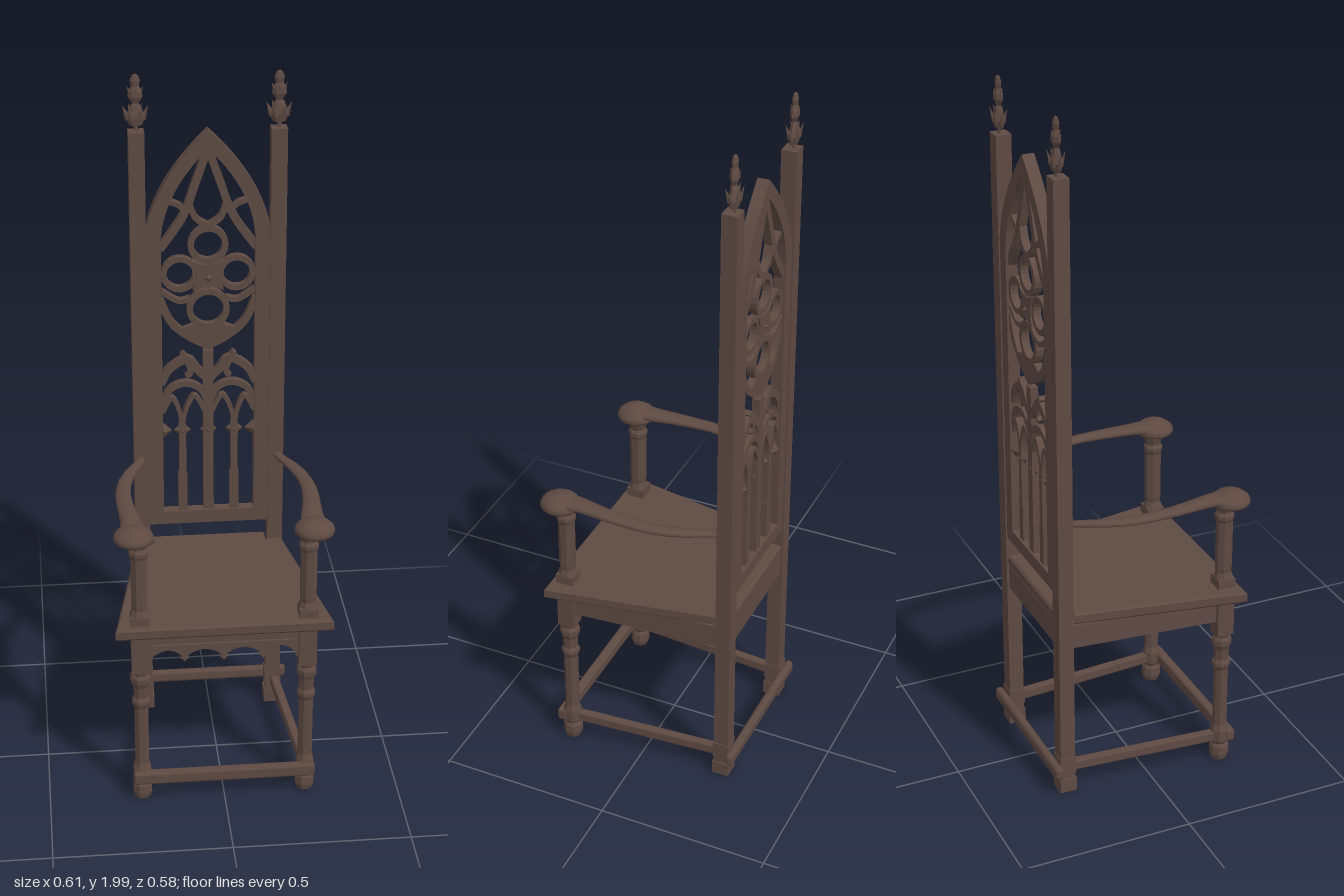
import * as THREE from 'three';
import { RoundedBoxGeometry } from 'three/addons/geometries/RoundedBoxGeometry.js';

const wood = new THREE.MeshStandardMaterial({ color: 0x5e4a43 });
wood.name = 'dark wood';

const v2 = ([x, y]) => new THREE.Vector2(x, y);

export function createModel() {
  const chair = new THREE.Group();
  chair.name = 'gothicArmchair';

  function add(name, geometry, x = 0, y = 0, z = 0, parent = chair) {
    const mesh = new THREE.Mesh(geometry, wood);
    mesh.name = name;
    mesh.position.set(x, y, z);
    parent.add(mesh);
    return mesh;
  }
  // box given by its bottom and top heights
  const block = (name, w, d, y0, y1, x, z) =>
    add(name, new THREE.BoxGeometry(w, y1 - y0, d), x, (y0 + y1) / 2, z);

  const extrude = (shape, depth, bevel = 0) => new THREE.ExtrudeGeometry(shape, {
    depth, curveSegments: 10, bevelEnabled: bevel > 0, bevelSize: bevel, bevelThickness: bevel,
    bevelOffset: -bevel, bevelSegments: 1,
  });

  // faceted turning around a vertical axis
  function turned(name, profile, x, z, sides = 8, parent = chair) {
    const g = new THREE.LatheGeometry(profile.map(v2), sides, Math.PI / sides).toNonIndexed();
    g.computeVertexNormals();
    return add(name, g, x, 0, z, parent);
  }

  // flat bar of constant width following a smooth path
  function strip(points, width, n = 14) {
    const pts = new THREE.SplineCurve(points.map(v2)).getPoints(points.length > 2 ? n : 1);
    const left = [], right = [];
    pts.forEach((p, i) => {
      const a = pts[Math.max(i - 1, 0)], b = pts[Math.min(i + 1, pts.length - 1)];
      const t = b.clone().sub(a).normalize().multiplyScalar(width / 2);
      left.push(new THREE.Vector2(p.x - t.y, p.y + t.x));
      right.unshift(new THREE.Vector2(p.x + t.y, p.y - t.x));
    });
    return new THREE.Shape([...right.reverse(), ...left.reverse()]);
  }

  // horizontal beam between two points of the plan
  function beam(name, [x0, z0], [x1, z1], thick, y0, y1, bevel = 0) {
    const length = Math.hypot(x1 - x0, z1 - z0);
    const g = bevel ? new RoundedBoxGeometry(length, y1 - y0, thick, 1, bevel)
      : new THREE.BoxGeometry(length, y1 - y0, thick);
    const m = add(name, g, (x0 + x1) / 2, (y0 + y1) / 2, (z0 + z1) / 2);
    m.rotation.y = -Math.atan2(z1 - z0, x1 - x0);
  }

  // ---- seat: tapering board with a tongue between the back posts
  const seat = new THREE.Shape([[-0.303, -0.268], [0.303, -0.268], [0.215, 0.222], [0.168, 0.222],
    [0.168, 0.265], [-0.168, 0.265], [-0.168, 0.222], [-0.215, 0.222]].map(v2));
  const seatGeo = extrude(seat, 0.023, 0.006);
  seatGeo.rotateX(-Math.PI / 2);
  add('seat', seatGeo, 0, 0.556, 0);

  // ---- front apron with hanging cusps
  const apron = new THREE.Shape();
  apron.moveTo(0.215, 0.55);
  apron.lineTo(-0.215, 0.55);
  apron.lineTo(-0.215, 0.455);
  let from = -0.205;
  for (const tip of [-0.11, 0, 0.11, 0.205]) {
    apron.quadraticCurveTo(from + 0.012, 0.487, (from + tip) / 2, 0.492);
    apron.quadraticCurveTo(tip - 0.012, 0.487, tip - 0.005, 0.462);
    apron.lineTo(tip, 0.452);
    apron.lineTo(tip + 0.005, 0.462);
    from = tip;
  }
  apron.lineTo(0.215, 0.455);
  add('frontApron', extrude(apron, 0.02), 0, 0, 0.212);
  beam('frontApronMoulding', [-0.2, 0.234], [0.2, 0.234], 0.01, 0.5, 0.512);
  for (const tip of [-0.11, 0, 0.11]) {
    add('apronPendant', new THREE.OctahedronGeometry(0.013), tip, 0.46, 0.222);
  }

  // ---- back apron and the stretchers lying outside the legs
  beam('backApron', [-0.18, -0.25], [0.18, -0.25], 0.022, 0.475, 0.548);
  beam('frontStretcher', [-0.26, 0.25], [0.26, 0.25], 0.03, 0.065, 0.103, 0.008);
  beam('backStretcher', [-0.24, -0.279], [0.24, -0.279], 0.026, 0.065, 0.103, 0.011);

  // ---- paired parts
  for (const s of [-1, 1]) {
    beam('sideApron', [s * 0.237, 0.21], [s * 0.2, -0.23], 0.022, 0.475, 0.545);
    beam('sideStretcher', [s * 0.235, 0.24], [s * 0.197, -0.26], 0.026, 0.068, 0.1, 0.006);

    // front leg: square head, turned shaft, bulb foot
    const lx = s * 0.234, lz = 0.225;
    block('frontLegHead', 0.05, 0.05, 0.43, 0.55, lx, lz);
    turned('frontLeg', [[0, 0.008], [0.024, 0.008], [0.029, 0.025], [0.028, 0.05], [0.022, 0.06],
      [0.027, 0.07], [0.027, 0.105], [0.021, 0.125], [0.021, 0.31], [0.027, 0.325], [0.027, 0.335],
      [0.021, 0.345], [0.023, 0.38], [0.029, 0.395], [0.029, 0.41], [0.023, 0.42], [0.027, 0.435]], lx, lz);

    // back post running from floor to finial
    const px = s * 0.195, pz = -0.246;
    block('backPost', 0.044, 0.044, 0.008, 1.842, px, pz);
    block('backFoot', 0.052, 0.05, 0.008, 0.05, px, pz);
    block('backLegCollar', 0.05, 0.048, 0.07, 0.12, px, pz);

    // leafy finial, flattened front to back
    const finial = new THREE.Group();
    finial.name = 'finial';
    finial.position.set(px, 0, pz - 0.004);
    finial.scale.z = 0.6;
    chair.add(finial);
    turned('finialStem', [[0, 1.835], [0.006, 1.835], [0.006, 1.857], [0.018, 1.857], [0.027, 1.88], [0.016, 1.908],
      [0.009, 1.918], [0.02, 1.935], [0.019, 1.95], [0.011, 1.965], [0.014, 1.98], [0.009, 1.994], [0, 2]],
    0, 0, 6, finial);
    for (const [y, reach, size, count] of [[1.893, 0.027, 0.042, 6], [1.952, 0.016, 0.03, 4]]) {
      for (let i = 0; i < count; i++) {
        const a = i * 2 * Math.PI / count;
        const leaf = add('finialLeaf', new THREE.ConeGeometry(size * 0.24, size, 4),
          Math.cos(a) * reach, y, Math.sin(a) * reach, finial);
        leaf.rotation.set(Math.sin(a) * 0.4, 0, -Math.cos(a) * 0.4);
      }
    }

    // arm post
    block('armPostBase', 0.052, 0.052, 0.583, 0.612, lx, lz);
    turned('armPost', [[0.029, 0.61], [0.022, 0.63], [0.024, 0.645], [0.024, 0.79], [0.028, 0.8],
      [0.028, 0.81], [0.022, 0.82], [0.03, 0.85]], lx, lz);

    // domed hand rest
    add('handRest', new THREE.LatheGeometry([[0, 0.835], [0.03, 0.842], [0.052, 0.848], [0.056, 0.856], [0.052, 0.868],
      [0.036, 0.88], [0.015, 0.886], [0, 0.887]].map(v2), 20), s * 0.247, 0, 0.235);

    // bowed arm lofted through elliptical sections: x, y, z, half width, half height
    const sections = [[0.197, 0.858, -0.235, 0.013, 0.008], [0.208, 0.859, -0.2, 0.016, 0.008],
      [0.231, 0.86, -0.15, 0.019, 0.009], [0.248, 0.861, -0.1, 0.021, 0.009], [0.258, 0.862, -0.05, 0.021, 0.01],
      [0.262, 0.864, 0, 0.022, 0.01], [0.26, 0.865, 0.06, 0.024, 0.011], [0.254, 0.867, 0.12, 0.027, 0.012],
      [0.248, 0.868, 0.17, 0.031, 0.013], [0.247, 0.868, 0.23, 0.04, 0.013]];
    const n = 10, pos = [], idx = [];
    sections.forEach(([cx, cy, cz, rx, ry], i) => {
      for (let j = 0; j < n; j++) {
        const a = j * 2 * Math.PI / n;
        pos.push(s * cx + rx * Math.cos(a), cy + ry * Math.sin(a), cz);
        if (i === sections.length - 1) continue;
        const p = i * n + j, q = i * n + (j + 1) % n;
        idx.push(p, q, q + n, p, q + n, p + n);
      }
    });
    const arm = new THREE.BufferGeometry();
    arm.setAttribute('position', new THREE.Float32BufferAttribute(pos, 3));
    arm.setIndex(idx);
    arm.computeVertexNormals();
    add('arm', arm);
  }

  // ---- back frame: pointed arch with an open centre
  function lancet(path, w, bottom, spring, cx, cy, top) {
    path.moveTo(-w, bottom);
    path.lineTo(w, bottom);
    path.lineTo(w, spring);
    path.quadraticCurveTo(cx, cy, 0, top);
    path.quadraticCurveTo(-cx, cy, -w, spring);
    path.lineTo(-w, bottom);
    return path;
  }
  const frame = lancet(new THREE.Shape(), 0.176, 0.642, 1.55, 0.15, 1.7, 1.843);
  frame.holes.push(lancet(new THREE.Path(), 0.132, 0.682, 1.54, 0.118, 1.675, 1.79));
  add('backFrame', extrude(frame, 0.034), 0, 0, -0.264);

  // ---- tracery
  const tracery = new THREE.Group();
  tracery.name = 'tracery';
  chair.add(tracery);
  const carve = (name, shape, depth = 0.022) => add(name, extrude(shape, depth), 0, 0, -0.247 - depth / 2, tracery);
  const bar = (name, points, width) => {
    for (const s of [-1, 1]) carve(name, strip(points.map(([x, y]) => [s * x, y]), width));
  };
  function ring(name, x, y, inner, outer) {
    const shape = new THREE.Shape().absarc(x, y, outer, 0, Math.PI * 2);
    shape.holes.push(new THREE.Path().absarc(x, y, inner, 0, Math.PI * 2));
    carve(name, shape);
  }

  // gable and its braces
  bar('gable', [[0, 1.79], [0.035, 1.69], [0.07, 1.595], [0.135, 1.5]], 0.022);
  bar('gableBrace', [[0.062, 1.61], [0.085, 1.63], [0.115, 1.64]], 0.014);
  bar('gableCusp', [[0.05, 1.63], [0.035, 1.59], [0.0, 1.565]], 0.016);

  // four-lobed rose with a carved boss
  ring('roseRing', 0, 1.51, 0.04, 0.057);
  ring('roseRing', 0, 1.318, 0.044, 0.061);
  for (const s of [-1, 1]) ring('roseRing', s * 0.08, 1.425, 0.037, 0.053);
  const boss = new THREE.Shape();
  for (let i = 0; i < 16; i++) {
    const a = i * Math.PI / 8, r = i % 4 === 2 ? 0.062 : i % 4 === 0 ? 0.034 : 0.036;
    boss[i ? 'lineTo' : 'moveTo'](r * Math.cos(a), 1.42 + r * Math.sin(a));
  }
  carve('roseBoss', boss, 0.03);
  add('roseBossKnob', new THREE.OctahedronGeometry(0.026), 0, 1.415, -0.245, tracery);
  bar('roseSurround', [[0.135, 1.35], [0.105, 1.28], [0.055, 1.235], [0, 1.205]], 0.02);
  bar('roseSpur', [[0.05, 1.35], [0.085, 1.345], [0.132, 1.375]], 0.014);
  carve('roseFoot', new THREE.Shape([[-0.075, 1.26], [-0.03, 1.222], [0, 1.195], [0.03, 1.222],
    [0.075, 1.26], [0.035, 1.275], [0, 1.262], [-0.035, 1.275]].map(v2)));

  // ogee heads over the lower lights
  bar('ogeeHead', [[0.135, 1.09], [0.112, 1.135], [0.06, 1.165], [0.03, 1.13], [0, 1.1]], 0.022);
  bar('ogeeCusp', [[0.06, 1.155], [0.05, 1.125], [0.062, 1.11]], 0.014);
  bar('ogeeTip', [[0.05, 1.15], [0.075, 1.185]], 0.014);
  bar('lightArch', [[0.135, 1.02], [0.112, 1.07], [0.066, 1.09], [0.022, 1.07], [0, 1.02]], 0.017);
  bar('outerLightHead', [[0.075, 0.94], [0.083, 1.0], [0.105, 1.045], [0.132, 1.0]], 0.012);
  bar('innerLightHead', [[0.075, 0.94], [0.067, 1.0], [0.04, 1.05], [0.01, 1.0]], 0.012);

  // mullions with small capitals
  carve('centreMullion', strip([[0, 0.67], [0, 1.19]], 0.03));
  bar('sideMullion', [[0.075, 0.67], [0.075, 0.96]], 0.02);
  bar('mullionFoot', [[0.075, 0.675], [0.075, 0.8]], 0.026);
  for (const x of [-0.13, -0.075, 0, 0.075, 0.13]) {
    const cap = add('mullionCapital', new THREE.OctahedronGeometry(0.025), x, 0.94, -0.247, tracery);
    cap.scale.z = 0.6;
  }
  return chair;
}
